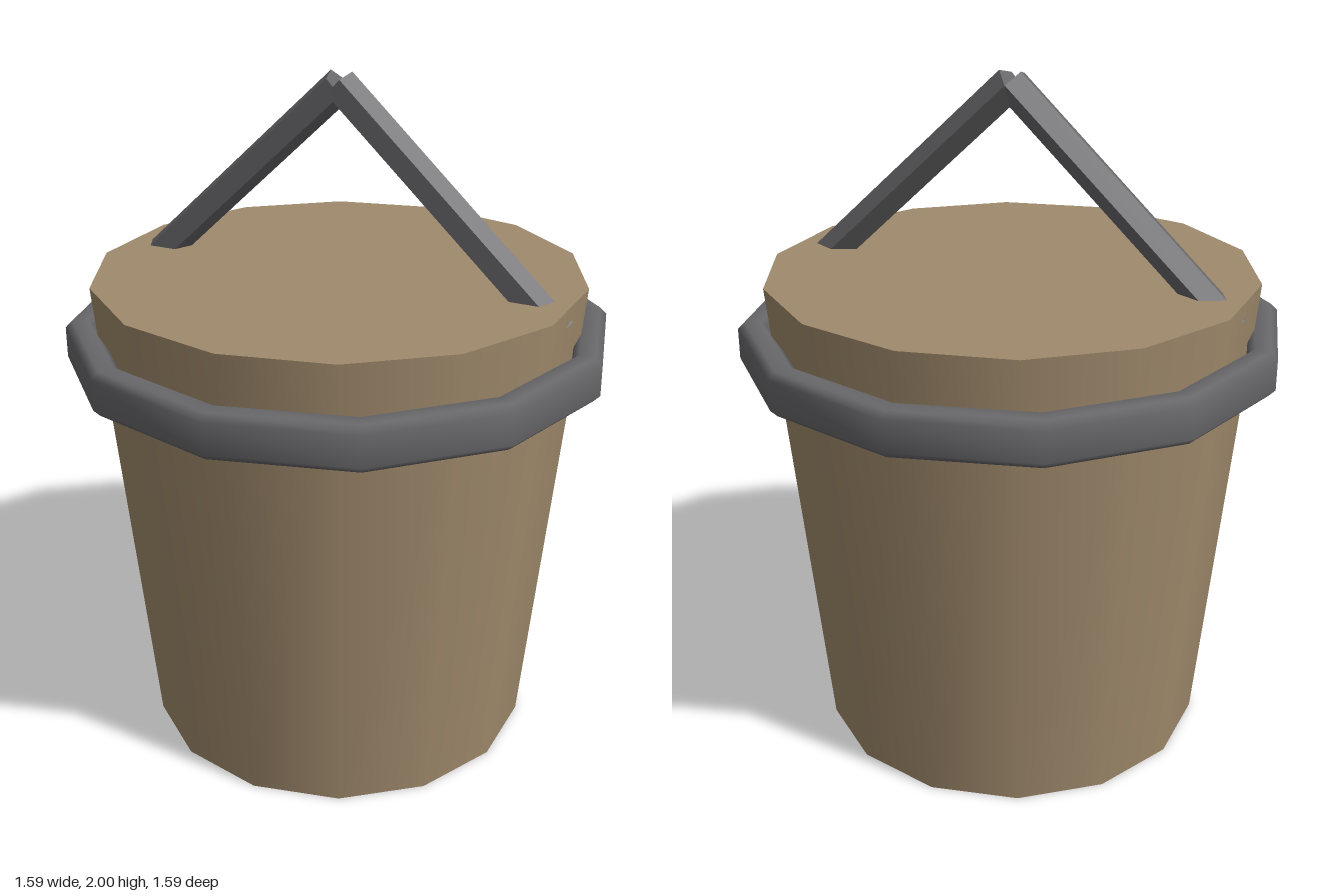
import * as THREE from 'three';

export function createModel() {
  const group = new THREE.Group();
  const wood = new THREE.MeshStandardMaterial({ color: 0xa08a6c });
  const metal = new THREE.MeshStandardMaterial({ color: 0x68686b });
  const metalFlat = new THREE.MeshStandardMaterial({ color: 0x68686b, flatShading: true });

  const add = (name, geometry, material) => {
    const mesh = new THREE.Mesh(geometry, material);
    mesh.name = name;
    group.add(mesh);
    return mesh;
  };

  // Tapered, closed 14-sided tub
  add('tub', new THREE.CylinderGeometry(0.715, 0.58, 1.43, 14), wood).position.y = 0.715;

  // 12-sided hoop with softened corners
  const inner = 0.708, outer = 0.795, low = 1.165, high = 1.295, c = 0.02;
  const profile = [
    [inner, low + c], [inner + c, low], [outer - c, low], [outer, low + c],
    [outer, high - c], [outer - c, high], [inner + c, high], [inner, high - c], [inner, low + c],
  ].map(([r, y]) => new THREE.Vector2(r, y));
  add('hoop', new THREE.LatheGeometry(profile, 12), metal);

  // Two five-sided bars meeting in a peak, their lower ends set into the tub
  const peak = new THREE.Vector3(0, 1.965, 0);
  for (const side of [1, -1]) {
    const foot = new THREE.Vector3(side * 0.667, 1.345, 0);
    const along = foot.clone().sub(peak);
    const length = along.length();
    along.normalize().multiplyScalar(side);
    const across = new THREE.Vector3(0, 0, 1);
    const outward = new THREE.Vector3().crossVectors(across, along);
    const bar = add(
      side > 0 ? 'leftHandleBar' : 'rightHandleBar',
      new THREE.CylinderGeometry(0.05, 0.05, length, 5, 1, false, -0.3),
      metalFlat,
    );
    bar.quaternion.setFromRotationMatrix(new THREE.Matrix4().makeBasis(across, along, outward));
    bar.position.copy(peak).add(foot).multiplyScalar(0.5);
  }

  return group;
}
